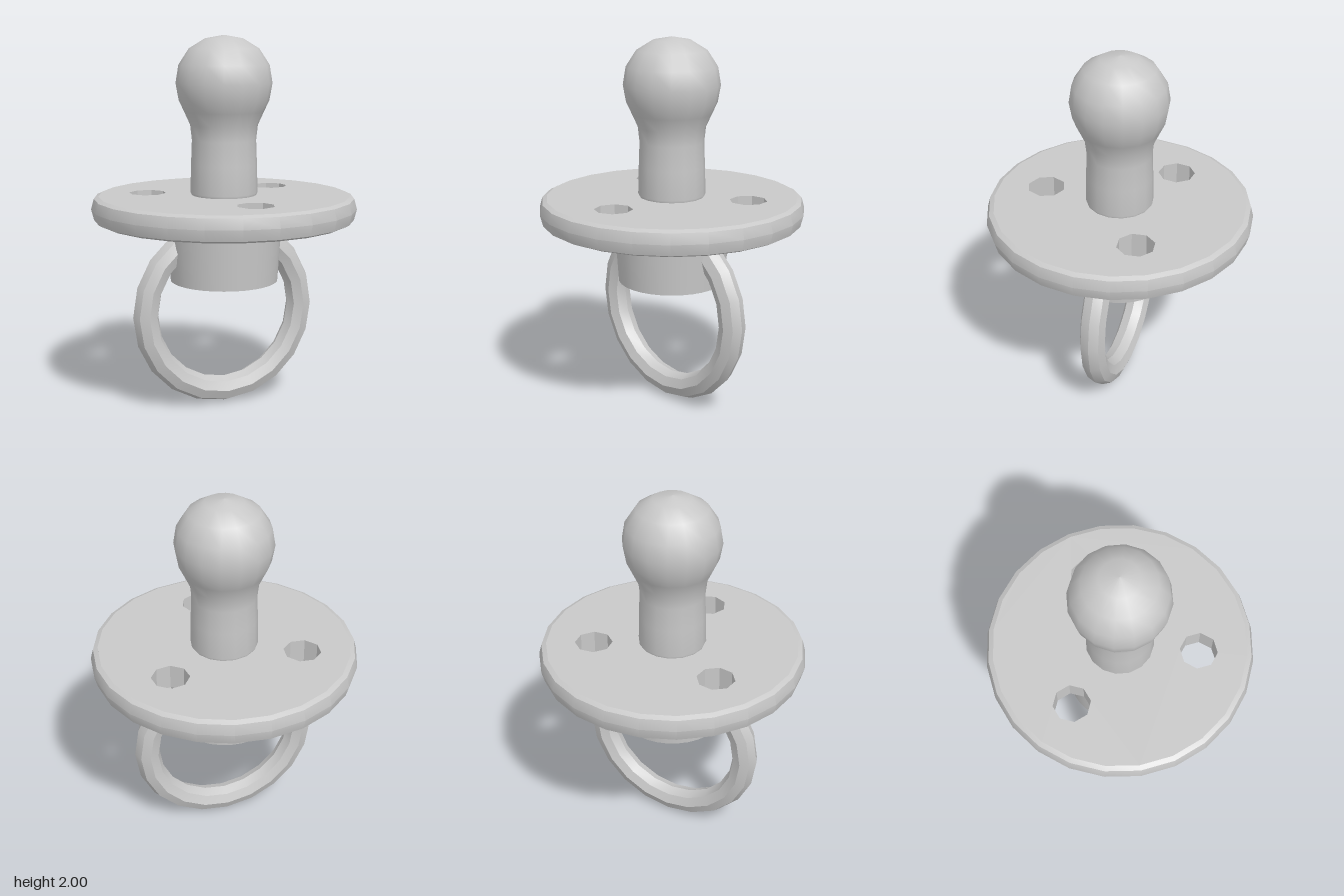
import * as THREE from 'three';
import { toCreasedNormals } from 'three/addons/utils/BufferGeometryUtils.js';

const TOP = 1.157, BOTTOM = 1.02;

function polygon(PathType, cx, cy, radius, sides, start) {
  const path = new PathType();
  path.setFromPoints(Array.from({ length: sides }, (_, i) => {
    const a = start + (i / sides) * Math.PI * 2;
    return new THREE.Vector2(cx + radius * Math.cos(a), cy + radius * Math.sin(a));
  }));
  path.closePath();
  return path;
}

function lathe(points, sides) {
  return new THREE.LatheGeometry(points.map(([r, y]) => new THREE.Vector2(r, y)), sides);
}

export function createModel() {
  const group = new THREE.Group();
  const grey = new THREE.MeshStandardMaterial({ color: 0xc8c8c8 });
  grey.name = 'plain grey';

  const add = (name, geometry) => {
    const mesh = new THREE.Mesh(geometry, grey);
    mesh.name = name;
    group.add(mesh);
    return mesh;
  };

  // Round shield with three octagonal air holes
  const disc = polygon(THREE.Shape, 0, 0, 0.67, 24, 0);
  for (let i = 0; i < 3; i++) {
    const a = -Math.PI / 2 + (i * Math.PI * 2) / 3;
    disc.holes.push(polygon(THREE.Path, 0.417 * Math.cos(a), 0.417 * Math.sin(a), 0.1, 8, a));
  }
  const shield = new THREE.ExtrudeGeometry(disc, { depth: TOP - BOTTOM, bevelEnabled: false });
  shield.rotateX(-Math.PI / 2);
  shield.translate(0, BOTTOM, 0);
  add('shield', shield);

  // Bevelled edge running round the shield
  const rim = lathe([[0.67, BOTTOM], [0.695, 1.032], [0.71, 1.09], [0.695, 1.145], [0.67, TOP]], 24);
  add('shieldRim', toCreasedNormals(rim, Math.PI / 6));

  // Soft bulb on its stem
  add('teat', lathe([
    [0.17, TOP - 0.01], [0.18, 1.17], [0.176, 1.32], [0.171, 1.45], [0.18, 1.53], [0.212, 1.6],
    [0.24, 1.66], [0.256, 1.75], [0.24, 1.845], [0.185, 1.93], [0.1, 1.982], [0, 2],
  ], 16));

  // Tapered plug below the shield
  const plug = new THREE.CylinderGeometry(0.312, 0.29, 0.34, 32);
  plug.translate(0, 0.86, 0);
  add('plug', plug);

  // Faceted pull ring, passing through the plug
  const ring = new THREE.TorusGeometry(0.45, 0.07, 8, 20);
  ring.translate(0, 0.525, 0);
  add('pullRing', toCreasedNormals(ring, Math.PI / 6));

  return group;
}
